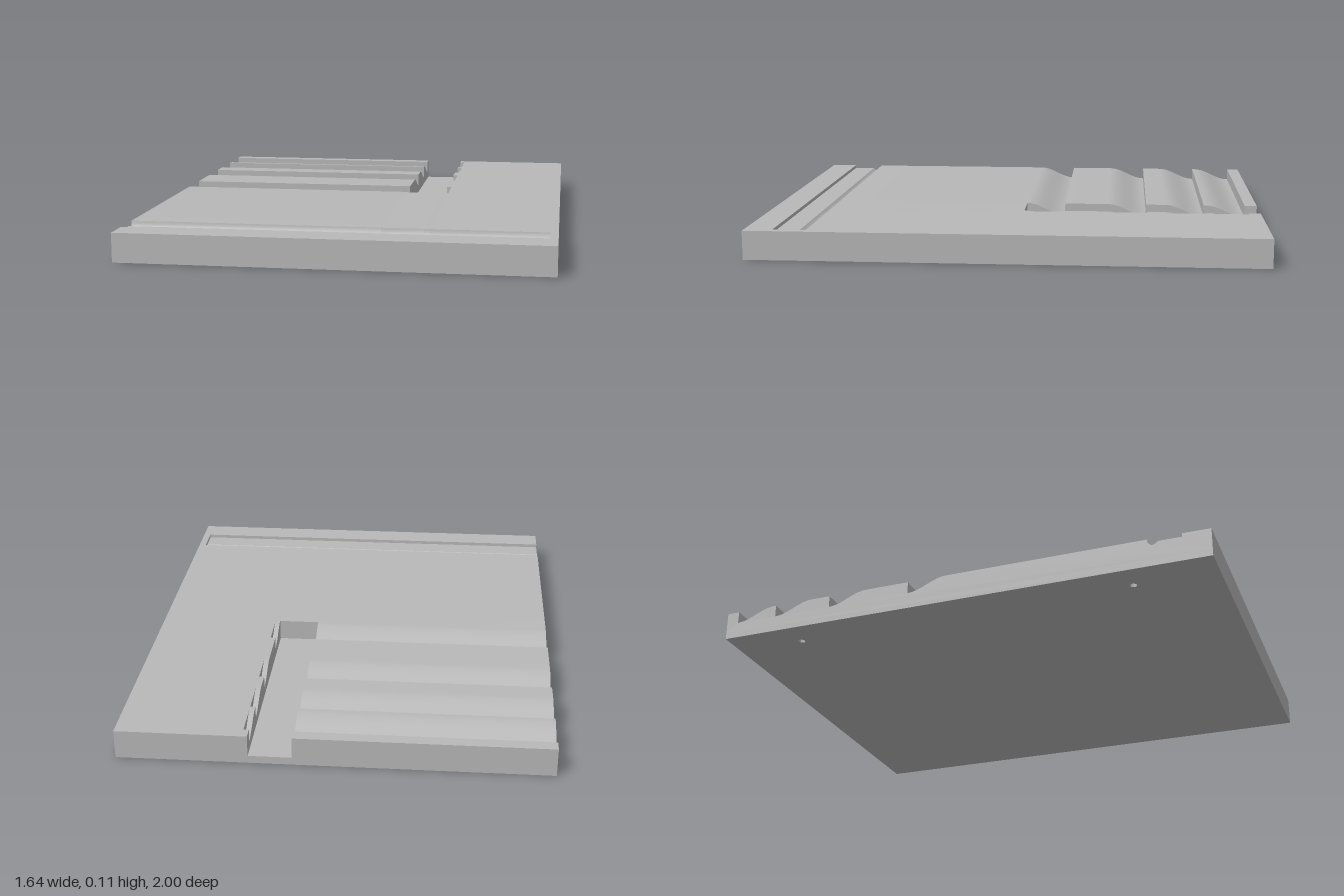
import * as THREE from 'three';
import { toCreasedNormals } from 'three/addons/utils/BufferGeometryUtils.js';

const HALF_W = 0.82, TOP = 0.113, FLOOR = 0.03;
const WAVE_STARTS = [-0.95, -0.78, -0.54, -0.2];
const WAVE_DEPTH = 0.048, WAVE_LENGTH = 0.16, WAVE_STEPS = 12;

// Top line from back to front, as [z, y] points
function topLine({ back = -1, waves = false, groove = true }) {
  const pts = [[back, TOP]];
  if (waves) {
    for (const z of WAVE_STARTS) {
      pts.push([z, TOP]); // sharp drop, then an S-curve back up
      for (let i = 0; i <= WAVE_STEPS; i++) {
        const t = i / WAVE_STEPS;
        pts.push([z + t * WAVE_LENGTH, TOP - WAVE_DEPTH * (1 + Math.cos(Math.PI * t)) / 2]);
      }
    }
  }
  if (groove) {
    // Rounded gutter followed by a shallow flat tray
    pts.push([0.76, TOP], [0.762, TOP - 0.012], [0.767, TOP - 0.021], [0.774, TOP - 0.026],
      [0.782, TOP - 0.026], [0.791, TOP - 0.022], [0.8, TOP - 0.014], [0.89, TOP - 0.014], [0.89, TOP]);
  }
  pts.push([1, TOP]);
  return pts;
}

// Solid slice between two x positions, with the given top line
function slice(name, x0, x1, options, material) {
  const line = topLine(options);
  const outline = [...line, [1, FLOOR], [line[0][0], FLOOR]];
  const shape = new THREE.Shape(outline.map(([z, y]) => new THREE.Vector2(-z, y)));
  const geo = new THREE.ExtrudeGeometry(shape, { depth: x1 - x0, bevelEnabled: false });
  geo.rotateY(Math.PI / 2).translate(x0, 0, 0);
  const mesh = new THREE.Mesh(toCreasedNormals(geo, 0.6), material);
  mesh.name = name;
  return mesh;
}

export function createModel() {
  const group = new THREE.Group();
  group.name = 'wavePlate';
  const grey = new THREE.MeshStandardMaterial({ color: 0xb8b8b8 });
  grey.name = 'plain grey';

  // Base slab with two small blind holes underneath
  const plan = new THREE.Shape([[-HALF_W, -1], [HALF_W, -1], [HALF_W, 1], [-HALF_W, 1]]
    .map(([x, y]) => new THREE.Vector2(x, y)));
  for (const z of [-0.72, 0.67]) {
    plan.holes.push(new THREE.Path().absarc(-0.7, -z, 0.014, 0, Math.PI * 2, true));
  }
  const baseGeo = new THREE.ExtrudeGeometry(plan, { depth: FLOOR, bevelEnabled: false, curveSegments: 16 });
  baseGeo.rotateX(-Math.PI / 2);
  const base = new THREE.Mesh(toCreasedNormals(baseGeo, 0.6), grey);
  base.name = 'baseSlab';
  group.add(base);

  // Upper body, sliced across the width
  group.add(
    slice('waveBed', -HALF_W, 0.155, { waves: true }, grey),
    slice('channelFront', 0.155, 0.32, { back: -0.04 }, grey),
    slice('channelWallNotches', 0.32, 0.34, { waves: true }, grey),
    slice('plainDeck', 0.34, 0.79, {}, grey),
    slice('edgeRim', 0.79, HALF_W, { groove: false }, grey),
  );
  return group;
}
